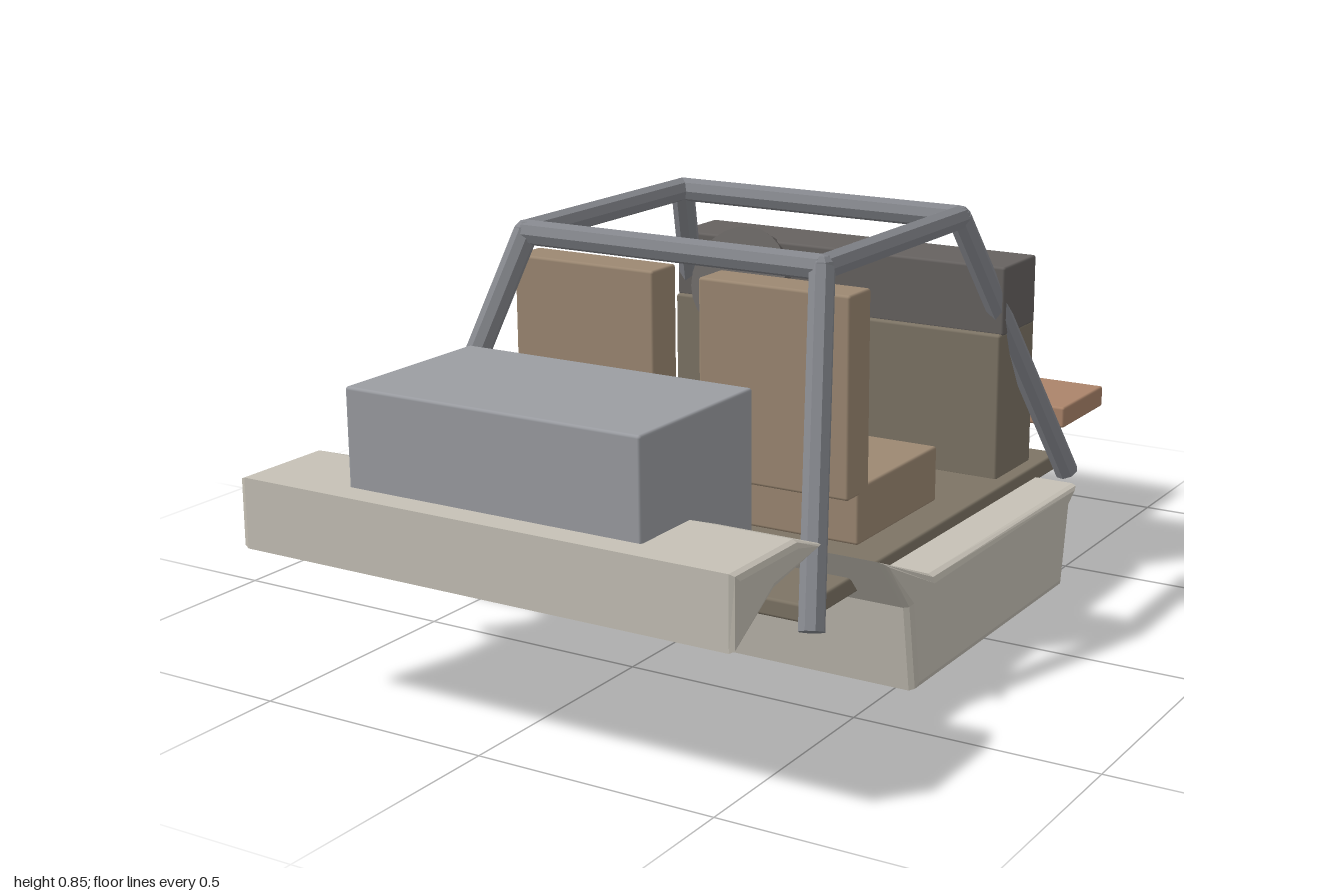
import * as THREE from 'three';
import { RoundedBoxGeometry } from 'three/addons/geometries/RoundedBoxGeometry.js';

const mat = (color, flat = false) => new THREE.MeshStandardMaterial({ color, flatShading: flat });
const body = mat(0xc6c1b6, true);
const steel = mat(0x85878d, true);
const engineGrey = mat(0x9b9da2);
const seatTan = mat(0x9c8872);
const floorBrown = mat(0x7d7465);
const dark = mat(0x666260);
const darkFlat = mat(0x666260, true);
const wood = mat(0xab846a);

export function createModel() {
  const model = new THREE.Group();

  const add = (name, geometry, material, parent = model) => {
    const mesh = new THREE.Mesh(geometry, material);
    mesh.name = name;
    parent.add(mesh);
    return mesh;
  };

  // Softly edged box given by its limits on each axis
  const box = (name, [x0, x1], [y0, y1], [z0, z1], material, parent) => {
    const geometry = new RoundedBoxGeometry(x1 - x0, y1 - y0, z1 - z0, 2, 0.006);
    geometry.translate((x0 + x1) / 2, (y0 + y1) / 2, (z0 + z1) / 2);
    return add(name, geometry, material, parent);
  };

  // Side profile of [z, y] points, extruded across the full width with bevelled ends
  const acrossBody = (name, points, halfWidth, bevel) => {
    const shape = new THREE.Shape(points.map(([z, y]) => new THREE.Vector2(z, y)));
    const depth = 2 * (halfWidth - bevel);
    const geometry = new THREE.ExtrudeGeometry(shape, {
      depth, bevelEnabled: true, bevelThickness: bevel,
      bevelSize: bevel, bevelOffset: -bevel, bevelSegments: 2,
    });
    geometry.translate(0, 0, -depth / 2);
    geometry.rotateY(-Math.PI / 2);
    return add(name, geometry, body);
  };

  // Lower body tub with its raised front lip
  acrossBody('bodyTub', [
    [0.33, 0], [0.36, 0.18], [0.47, 0.305], [0.255, 0.217],
    [-0.45, 0.213], [-0.41, 0.175], [-0.38, 0],
  ], 0.545, 0.016);

  // Front fender shell
  acrossBody('frontFender', [
    [1, 0.303], [1, 0.443], [0.79, 0.443], [0.7, 0.41], [0.87, 0.378],
  ], 0.545, 0.014);

  // Floor, engine, rear cargo boxes and rear step
  box('floor', [-0.442, 0.442], [0.203, 0.24], [-0.572, 0.585], floorBrown);
  box('engineBox', [-0.323, 0.323], [0.33, 0.635], [0.573, 0.945], engineGrey);
  box('dashBase', [-0.41, 0.41], [0.235, 0.56], [-0.487, -0.31], floorBrown);
  box('dashTop', [-0.412, 0.412], [0.556, 0.706], [-0.484, -0.322], dark);
  box('rearStep', [-0.375, 0.372], [0.238, 0.288], [-1, -0.765], wood);

  // Pair of seats
  for (const side of [-1, 1]) {
    const seat = new THREE.Group();
    seat.name = side > 0 ? 'leftSeat' : 'rightSeat';
    const span = side > 0 ? [0.052, 0.39] : [-0.392, -0.054];
    box('seatCushion', span, [0.258, 0.376], [-0.057, 0.285], seatTan, seat);
    box('seatBack', span, [0.36, 0.766], [0.242, 0.328], seatTan, seat);
    model.add(seat);
  }

  // Steering wheel, a tilted disc with a short column behind it
  const steering = new THREE.Group();
  steering.name = 'steering';
  add('steeringWheel', new THREE.CylinderGeometry(0.12, 0.12, 0.03, 24), darkFlat, steering);
  add('steeringColumn', new THREE.CylinderGeometry(0.025, 0.025, 0.08, 12), darkFlat, steering)
    .position.y = -0.05;
  steering.position.set(-0.22, 0.619, -0.285);
  steering.rotation.x = 1.118;
  model.add(steering);

  // Roll cage: four splayed legs, a rectangular top frame and corner joints
  const cage = new THREE.Group();
  cage.name = 'rollCage';
  model.add(cage);
  const radius = 0.026;
  const tube = (name, a, b) => {
    const dir = b.clone().sub(a);
    const mesh = add(name, new THREE.CylinderGeometry(radius, radius, dir.length(), 8), steel, cage);
    mesh.position.copy(a).addScaledVector(dir, 0.5);
    mesh.quaternion.setFromUnitVectors(new THREE.Vector3(0, 1, 0), dir.normalize());
  };
  const top = (side, z) => new THREE.Vector3(side * 0.343, 0.821, z);
  const frontZ = 0.352, rearZ = -0.237;
  for (const side of [-1, 1]) {
    for (const [end, z, footZ] of [['front', frontZ, 0.625], ['rear', rearZ, -0.54]]) {
      tube(end + 'Leg', new THREE.Vector3(side * 0.478, 0.208, footZ), top(side, z));
      add('cageJoint', new THREE.SphereGeometry(radius, 8, 6), steel, cage).position.copy(top(side, z));
    }
    tube('sideRail', top(side, rearZ), top(side, frontZ));
  }
  tube('frontRail', top(-1, frontZ), top(1, frontZ));
  tube('rearRail', top(-1, rearZ), top(1, rearZ));

  return model;
}
